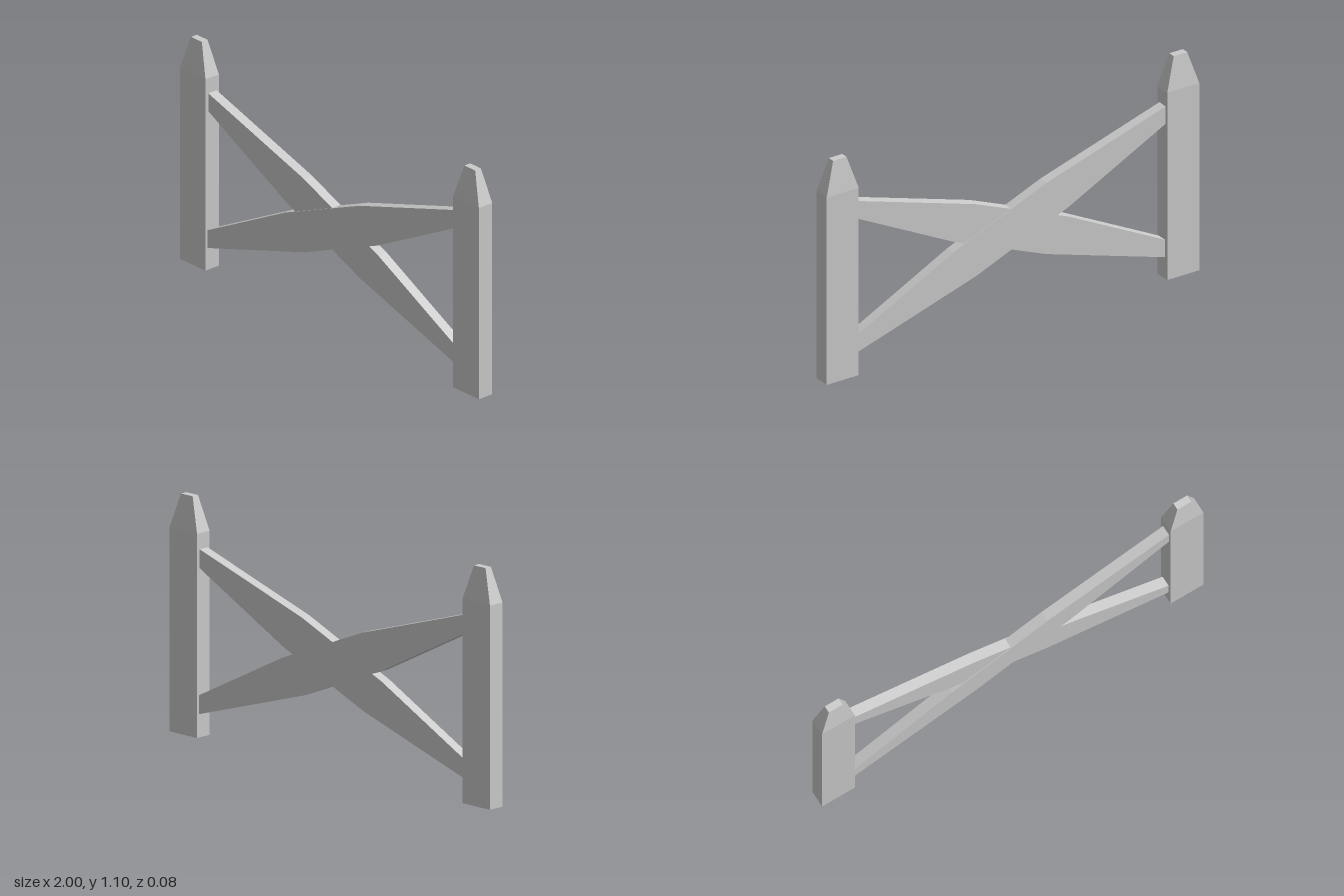
import * as THREE from 'three';

const material = new THREE.MeshStandardMaterial({ color: 0xcccccc, flatShading: true });

// Upright post: a box whose top ring is pulled in to form a blunt point
function makePost(x, name) {
  const height = 1.1, shoulder = 0.94;
  const geometry = new THREE.BoxGeometry(0.172, height, 0.08, 1, 2, 1);
  geometry.translate(0, height / 2, 0);
  const p = geometry.attributes.position;
  for (let i = 0; i < p.count; i++) {
    const y = p.getY(i);
    if (y > height - 0.01) p.setXYZ(i, p.getX(i) * 0.42, y, p.getZ(i) * 0.43);
    else if (y > 0.01) p.setY(i, shoulder);
  }
  geometry.computeVertexNormals();
  const post = new THREE.Mesh(geometry, material);
  post.name = name;
  post.position.x = x;
  return post;
}

// Diagonal board: wide in the middle, tapering to both ends.
// The upper edge is the lower edge turned half round the centre.
function makeBrace(mirror, z, name) {
  const thickness = 0.05, centreY = 0.487;
  const lower = [[-0.83, -0.38], [-0.19, -0.18], [0.31, 0.026], [0.83, 0.293]];
  const outline = [...lower, ...lower.map(([x, y]) => [-x, -y])];
  const shape = new THREE.Shape(outline.map(([x, y]) => new THREE.Vector2(mirror * x, y)));
  const geometry = new THREE.ExtrudeGeometry(shape, { depth: thickness, bevelEnabled: false });
  geometry.translate(0, centreY, z - thickness / 2);
  const brace = new THREE.Mesh(geometry, material);
  brace.name = name;
  return brace;
}

export function createModel() {
  const fence = new THREE.Group();
  fence.name = 'fenceSection';
  fence.add(
    makePost(0.914, 'leftPost'),
    makePost(-0.914, 'rightPost'),
    makeBrace(1, 0.002, 'frontBrace'),
    makeBrace(-1, -0.002, 'backBrace')
  );
  return fence;
}
